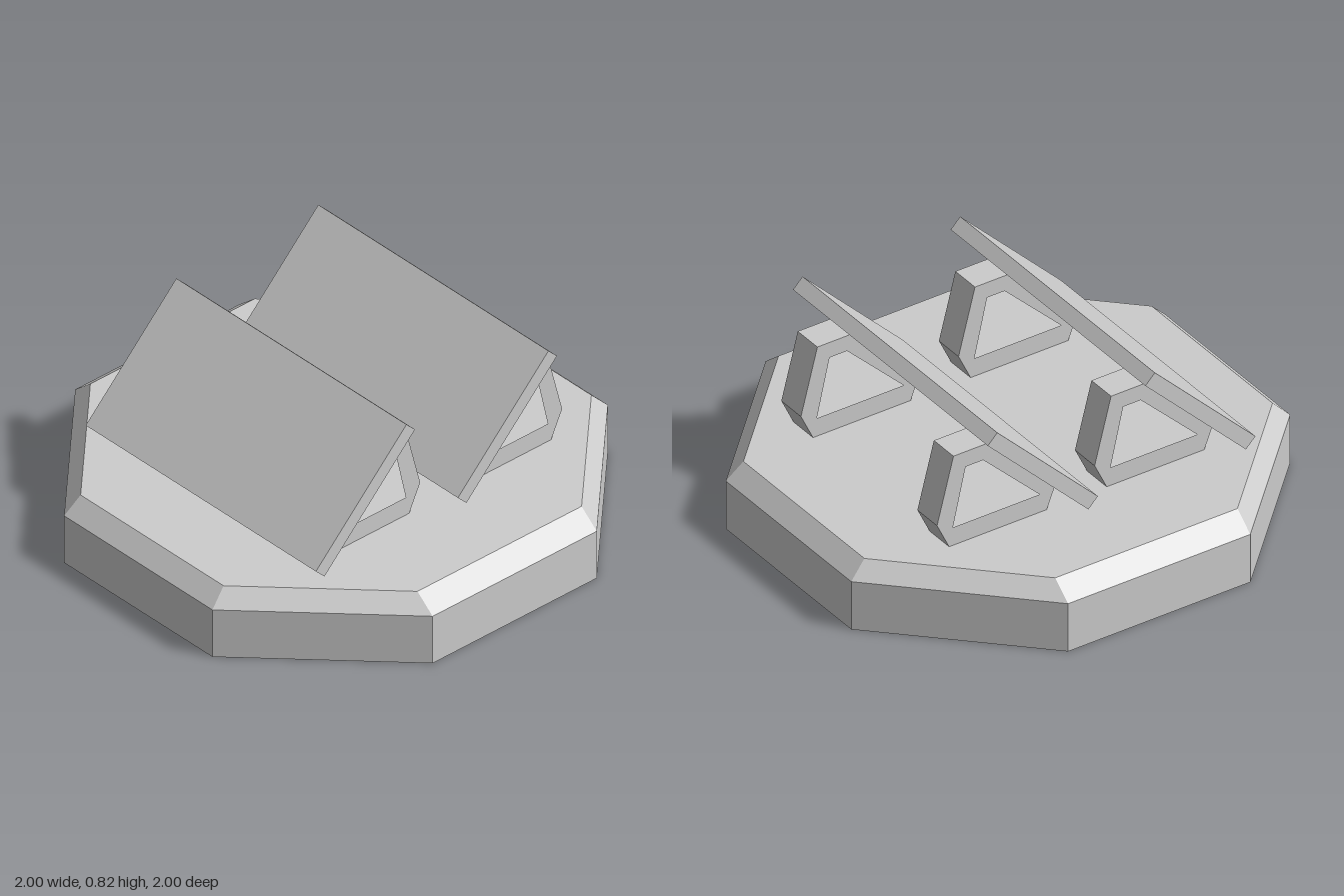
import * as THREE from 'three';
import { ConvexGeometry } from 'three/addons/geometries/ConvexGeometry.js';

const grey = new THREE.MeshStandardMaterial({ color: 0xcccccc });
grey.name = 'plain grey';

function part(name, geometry) {
  const mesh = new THREE.Mesh(geometry, grey);
  mesh.name = name;
  return mesh;
}

// Corners of one level of the octagon: half width and half length of its straight edges
function octagon(reach, edgeZ, edgeX, y) {
  const points = [];
  for (const sx of [-1, 1]) {
    for (const sz of [-1, 1]) {
      points.push(new THREE.Vector3(sx * edgeX, y, sz * reach.z));
      points.push(new THREE.Vector3(sx * reach.x, y, sz * edgeZ));
    }
  }
  return points;
}

// Eight-sided plinth with a chamfered rim
function createBase() {
  const outer = { x: 1, z: 1 };
  const inner = { x: 0.915, z: 0.93 };
  return part('base', new ConvexGeometry([
    ...octagon(outer, 0.415, 0.415, 0),
    ...octagon(outer, 0.415, 0.415, 0.215),
    ...octagon(inner, 0.415, 0.4, 0.285),
  ]));
}

// Hollow bracket profile, points given as [z, y]
const toPoints = (list) => list.map(([z, y]) => new THREE.Vector2(-z, y));
const BRACKET_WIDTH = 0.13;

function createBracketGeometry() {
  const shape = new THREE.Shape(toPoints([
    [0.54, 0.285], [0.578, 0.38], [0.273, 0.685],
    [0.115, 0.685], [0.04, 0.4], [0.095, 0.285],
  ]));
  shape.holes.push(new THREE.Path(toPoints([
    [0.508, 0.365], [0.25, 0.617], [0.17, 0.617], [0.112, 0.365],
  ])));
  const geometry = new THREE.ExtrudeGeometry(shape, { depth: BRACKET_WIDTH, bevelEnabled: false });
  geometry.translate(0, 0, -BRACKET_WIDTH / 2);
  geometry.rotateY(Math.PI / 2);
  return geometry;
}

// Tilted panel carried by a pair of brackets
function createPanelUnit(bracketGeometry) {
  const unit = new THREE.Group();
  const panel = part('panel', new THREE.BoxGeometry(1.288, 0.648, 0.061));
  panel.position.set(0, 0.569, 0.433);
  panel.rotation.x = -Math.PI / 4;
  unit.add(panel);
  for (const side of [-1, 1]) {
    const bracket = part(side > 0 ? 'leftBracket' : 'rightBracket', bracketGeometry);
    bracket.position.x = side * 0.45;
    unit.add(bracket);
  }
  return unit;
}

export function createModel() {
  const model = new THREE.Group();
  model.name = 'panelStand';
  model.add(createBase());

  const bracketGeometry = createBracketGeometry();
  for (const [name, z] of [['frontPanelUnit', 0], ['backPanelUnit', -0.718]]) {
    const unit = createPanelUnit(bracketGeometry);
    unit.name = name;
    unit.position.z = z;
    model.add(unit);
  }
  return model;
}
